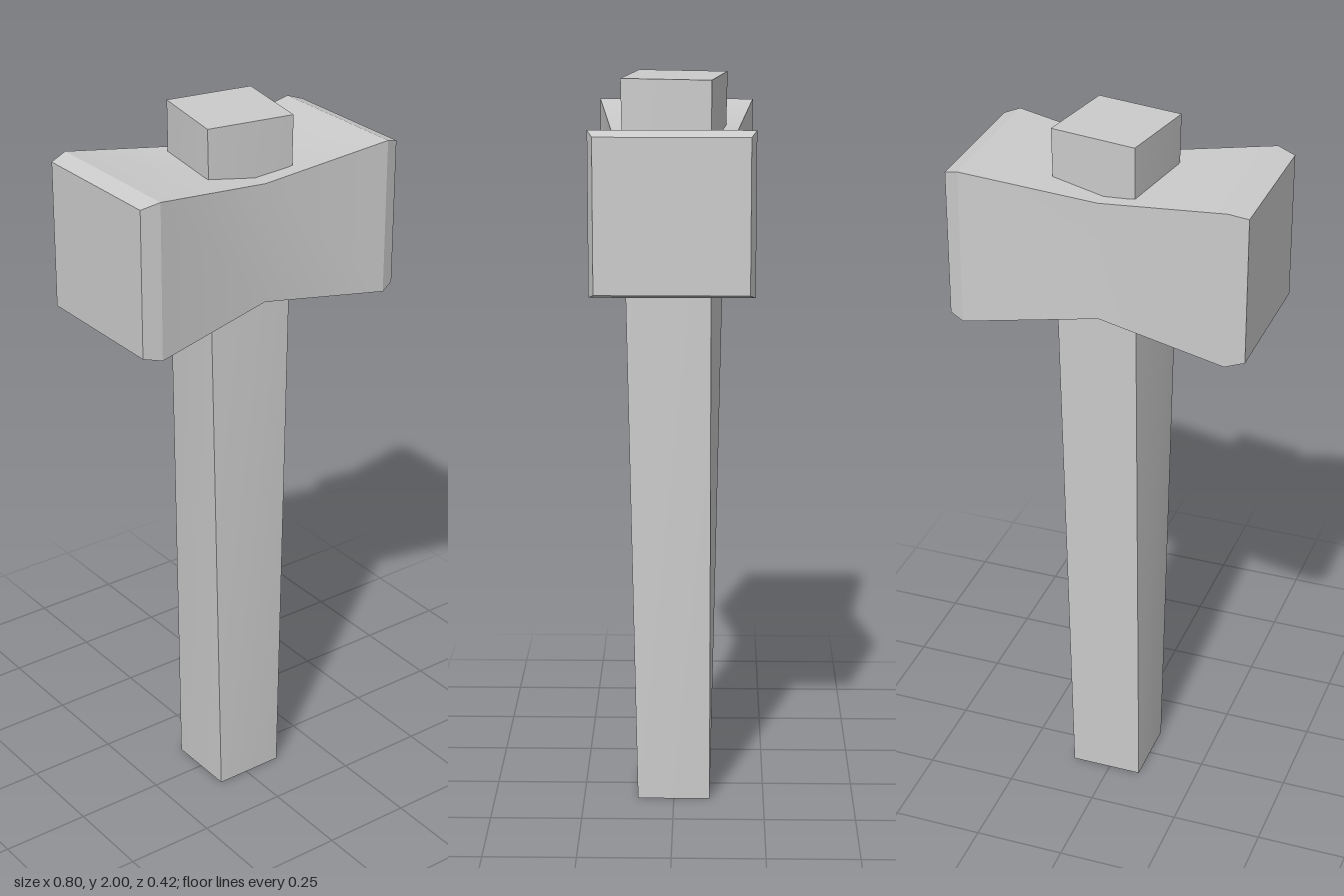
import * as THREE from 'three';
import { toCreasedNormals } from 'three/addons/utils/BufferGeometryUtils.js';

// Skin four-cornered rings (counterclockwise seen from the last ring) and cap both ends.
function loft(rings) {
  const index = [];
  const last = (rings.length - 1) * 4;
  for (let r = 0; r < last; r += 4) {
    for (let i = 0; i < 4; i++) {
      const a = r + i, b = r + (i + 1) % 4;
      index.push(a, b, b + 4, a, b + 4, a + 4);
    }
  }
  index.push(0, 2, 1, 0, 3, 2, last, last + 1, last + 2, last, last + 2, last + 3);
  const geometry = new THREE.BufferGeometry();
  geometry.setAttribute('position', new THREE.Float32BufferAttribute(rings.flat(2), 3));
  geometry.setIndex(index);
  return toCreasedNormals(geometry, THREE.MathUtils.degToRad(20));
}

const corners = [[-1, 1], [1, 1], [1, -1], [-1, -1]];

// Horizontal square ring of the handle, turned about y.
function handleRing(y, half, turn, cx, cz) {
  const c = Math.cos(turn) * half, s = Math.sin(turn) * half;
  return corners.map(([u, v]) => [cx + u * c - v * s, y, cz + u * s + v * c]);
}

// Upright ring of the head.
function headRing(x, halfY, halfZ) {
  return corners.map(([u, v]) => [x, 1.686 - v * halfY, -u * halfZ]);
}

export function createModel() {
  const group = new THREE.Group();
  const material = new THREE.MeshStandardMaterial({ color: 0xcccccc });
  const add = (name, rings) => {
    const mesh = new THREE.Mesh(loft(rings), material);
    mesh.name = name;
    group.add(mesh);
  };

  // Handle: widens and twists slightly towards the top
  add('handle', [
    handleRing(0, 0.1, 0, 0.01, 0),
    handleRing(2, 0.12, THREE.MathUtils.degToRad(10), 0.012, -0.001),
  ]);

  // Head: pinched at the middle, bevelled at both striking faces
  add('head', [
    headRing(-0.4, 0.199, 0.198),
    headRing(-0.35, 0.212, 0.212),
    headRing(0.003, 0.163, 0.166),
    headRing(0.36, 0.212, 0.212),
    headRing(0.4, 0.199, 0.198),
  ]);

  return group;
}
